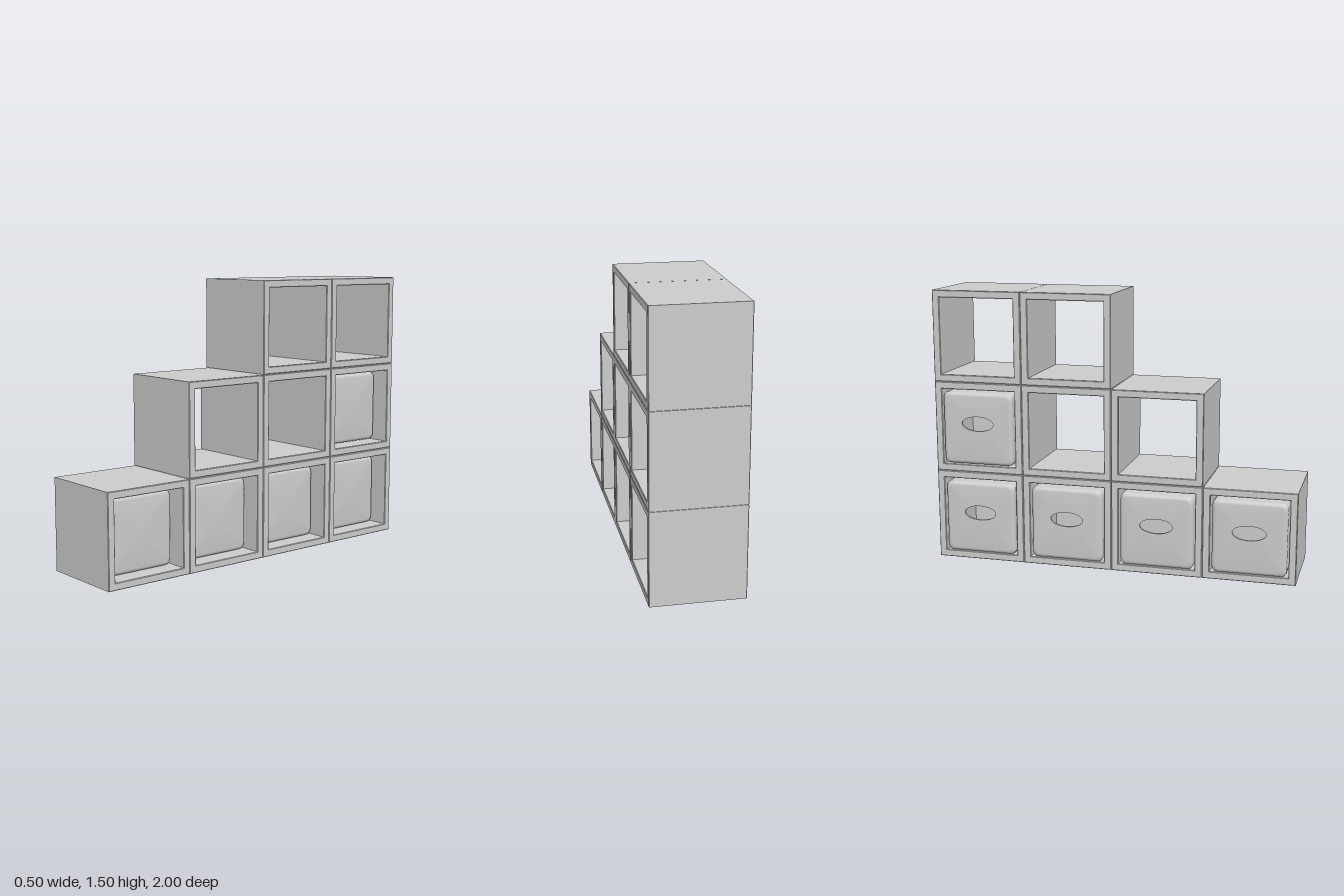
import * as THREE from 'three';
import { toCreasedNormals } from 'three/addons/utils/BufferGeometryUtils.js';

const CELL = 0.5, BACK = 0.25, FRONT = -0.244;
const grey = new THREE.MeshStandardMaterial({ color: 0xcccccc });

function square(h) {
  return [[-h, -h], [h, -h], [h, h], [-h, h]].map(([x, y]) => new THREE.Vector2(x, y));
}

// Square tube, open on both sides, with a fine chamfer on its rims
function cubeGeometry() {
  const b = 0.003;
  const shape = new THREE.Shape(square(0.249 - b));
  shape.holes.push(new THREE.Path(square(0.21 + b).reverse()));
  const geo = new THREE.ExtrudeGeometry(shape, {
    depth: BACK - FRONT - 2 * b, bevelThickness: b, bevelSize: b, bevelSegments: 1,
  });
  geo.translate(0, 0, FRONT + b);
  geo.rotateY(Math.PI / 2);
  return geo;
}

// Outline of a rounded square with half-size 1, counter-clockwise
function roundedOutline(r) {
  const s = new THREE.Shape();
  s.absarc(1 - r, 1 - r, r, 0, Math.PI / 2);
  s.absarc(r - 1, 1 - r, r, Math.PI / 2, Math.PI);
  s.absarc(r - 1, r - 1, r, Math.PI, Math.PI * 1.5);
  s.absarc(1 - r, r - 1, r, Math.PI * 1.5, Math.PI * 2);
  s.closePath();
  return s.getSpacedPoints(96).slice(0, 96);
}

// Hollow bin: rings run over the back, sides and front, then through the grip hole inside
function binGeometry() {
  const outline = roundedOutline(0.14);
  const half = 0.2, r = 0.022, back = 0.16, front = -0.25, wall = 0.012;
  const rings = [];
  const sq = (h, x) => rings.push(outline.map((p) => [x, p.y * h, p.x * h]));
  const oval = (x) => rings.push(outline.map((p) => {
    const a = Math.atan2(p.y, p.x);
    return [x, 0.028 + 0.04 * Math.sin(a), 0.09 * Math.cos(a)];
  }));
  const steps = 5;
  sq(0, back);
  for (let i = 0; i <= steps; i++) {
    const a = (i / steps) * Math.PI / 2;
    sq(half - r + r * Math.sin(a), back - r + r * Math.cos(a));
  }
  for (let i = 0; i <= steps; i++) {
    const a = (i / steps) * Math.PI / 2;
    sq(half - r + r * Math.cos(a), front + r - r * Math.sin(a));
  }
  oval(front);
  oval(front + wall);
  sq(half - wall, front + wall);
  sq(half - wall, back - wall);
  sq(0, back - wall);

  const n = outline.length, index = [];
  for (let i = 0; i < rings.length - 1; i++) {
    for (let j = 0; j < n; j++) {
      const a = i * n + j, b = i * n + (j + 1) % n;
      index.push(a, b, a + n, b, b + n, a + n);
    }
  }
  const geo = new THREE.BufferGeometry();
  geo.setAttribute('position', new THREE.Float32BufferAttribute(rings.flat(2), 3));
  geo.setIndex(index);
  return toCreasedNormals(geo, 0.6);
}

export function createModel() {
  const model = new THREE.Group();
  model.name = 'steppedShelf';
  const cube = cubeGeometry(), bin = binGeometry();

  const add = (geo, name, y, z) => {
    const mesh = new THREE.Mesh(geo, grey);
    mesh.name = name;
    mesh.position.set(0, y, z);
    model.add(mesh);
  };

  // Rows of four, three and two cubes, stepping up towards the rear
  [4, 3, 2].forEach((count, row) => {
    for (let i = 0; i < count; i++) {
      const y = (row + 0.5) * CELL, z = -0.75 + i * CELL;
      add(cube, 'shelfCube', y, z);
      // Bins fill the bottom row and the rearmost cube of the middle row
      if (row === 0) add(bin, 'storageBin', y - 0.009, z);
      if (row === 1 && i === 0) add(bin, 'storageBin', y - 0.005, z - 0.003);
    }
  });
  return model;
}
